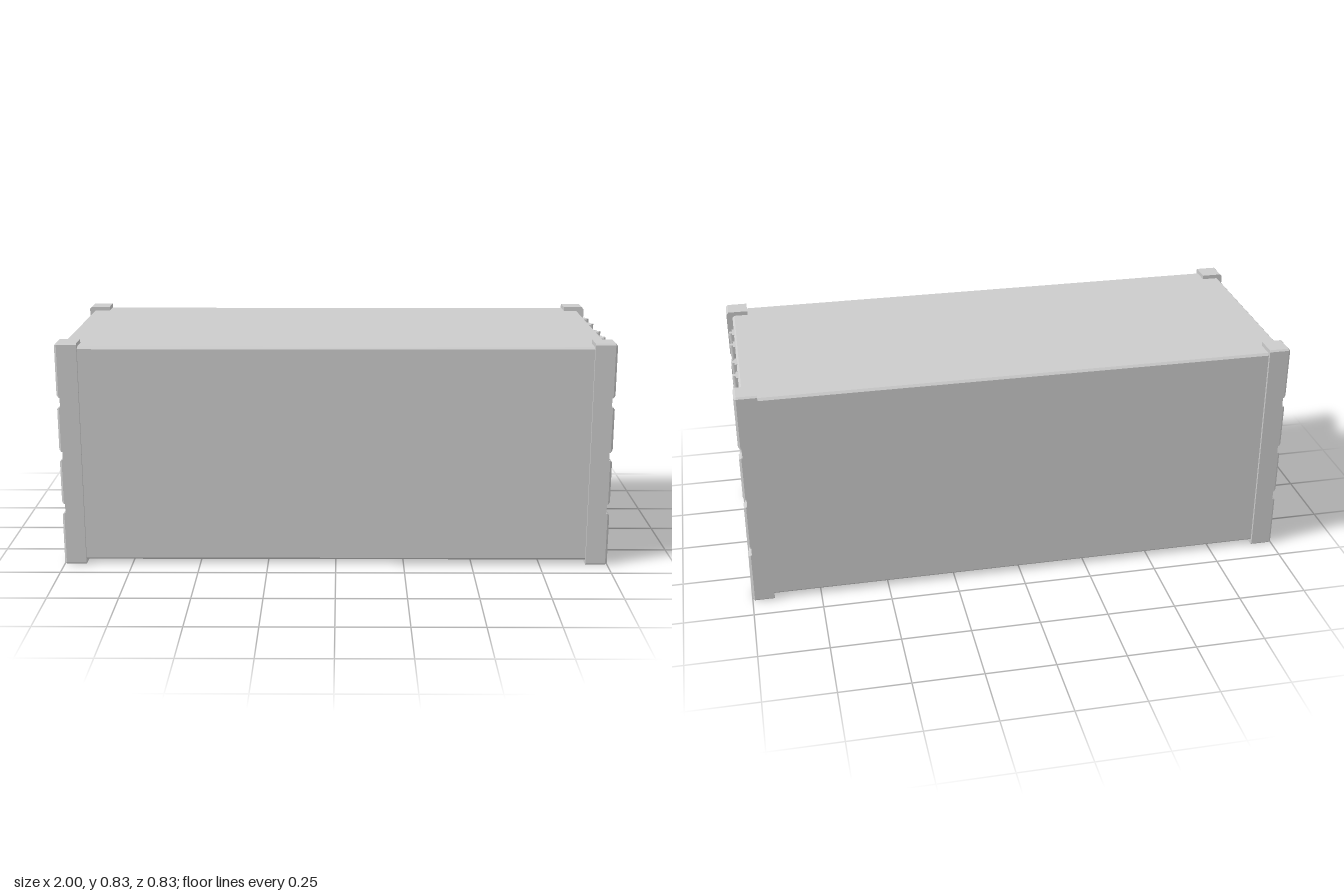
import * as THREE from 'three';

const mat = new THREE.MeshStandardMaterial({ color: 0xcccccc, side: THREE.DoubleSide });
const H = 0.415; // half height and half width
const B = 0.008; // bevel size

function add(parent, name, geo, x = 0, y = 0, z = 0) {
  const mesh = new THREE.Mesh(geo, mat);
  mesh.name = name;
  mesh.position.set(x, y, z);
  parent.add(mesh);
  return mesh;
}

// Prism along x from [z, y] corners; the chosen end faces are pulled in to form a bevel.
function prism(points, x0, x1, bevelStart = false, bevelEnd = false, zMin = -Infinity) {
  const shape = new THREE.Shape(points.map(([z, y]) => new THREE.Vector2(-z, y)));
  const ys = points.map(p => p[1]);
  const lo = Math.min(...ys) + B, hi = Math.max(...ys) - B;
  const zMax = Math.max(...points.map(p => p[0])) - B;
  const levels = [x0];
  if (bevelStart) levels.push(x0 + B);
  if (bevelEnd) levels.push(x1 - B);
  levels.push(x1);
  const steps = levels.length - 1;
  const geo = new THREE.ExtrudeGeometry(shape, { depth: 1, steps, bevelEnabled: false });
  geo.rotateY(Math.PI / 2);
  const p = geo.attributes.position;
  for (let i = 0; i < p.count; i++) {
    const k = Math.round(p.getX(i) * steps);
    p.setX(i, levels[k]);
    if ((k === 0 && bevelStart) || (k === steps && bevelEnd)) {
      p.setY(i, THREE.MathUtils.clamp(p.getY(i), lo, hi));
      p.setZ(i, THREE.MathUtils.clamp(p.getZ(i), zMin, zMax));
    }
  }
  geo.computeVertexNormals();
  return geo;
}

// Corner post with bevelled pads on its end face, centred in height
function cornerPost() {
  const post = new THREE.Group();
  post.name = 'cornerPost';
  const c = 0.006, inner = 0.37, foot = 0.332, footTop = 0.33;
  add(post, 'postCore', prism([
    [foot, -H], [H - c, -H], [H, -H + c], [H, H - c], [H - c, H], [foot, H],
    [foot, footTop], [inner, footTop], [inner, -footTop], [foot, -footTop],
  ], 0.92, 0.988));
  for (const s of [-1, 1]) {
    add(post, 'cornerPad', prism([
      [foot, s * H], [H - c, s * H], [H, s * (H - c)], [H, s * 0.217],
      [inner, s * 0.217], [inner, s * footTop], [foot, s * footTop],
    ], 0.986, 1, false, true));
    add(post, 'middlePad', prism([
      [inner, s * 0.015], [H, s * 0.015], [H, s * 0.182], [inner, s * 0.182],
    ], 0.986, 1, false, true));
  }
  return post;
}

// Vertical locking rod with sleeves and brackets
function lockingRod() {
  const rod = new THREE.Group();
  rod.name = 'lockingRod';
  const tube = (name, r, y0, y1) =>
    add(rod, name, new THREE.CylinderGeometry(r, r, y1 - y0, 16), 0.986, (y0 + y1) / 2, 0);
  tube('rodBar', 0.008, 0.022, 0.808);
  tube('upperSleeve', 0.0105, 0.715, 0.75);
  tube('lowerSleeve', 0.0105, 0.09, 0.123);
  for (const [name, y0, y1, half] of [
    ['bottomBracket', 0.022, 0.058, 0.029],
    ['middleBracket', 0.36, 0.369, 0.025],
    ['topBracket', 0.784, 0.81, 0.026],
  ]) {
    add(rod, name, new THREE.BoxGeometry(0.01, y1 - y0, half * 2), 0.98, (y0 + y1) / 2, 0);
    tube(name + 'Collar', 0.01, y0, y1);
  }
  return rod;
}

// Horizontal door handle between two z positions
function handle(parent, y, z0, z1) {
  const bar = new THREE.CylinderGeometry(0.004, 0.004, z0 - z1, 10).rotateX(Math.PI / 2);
  add(parent, 'handleBar', bar, 0.984, y, (z0 + z1) / 2);
  for (const z of [z0 - 0.006, z1 + 0.004])
    add(parent, 'handleClip', new THREE.BoxGeometry(0.012, 0.013, 0.007), 0.982, y, z);
}

export function createModel() {
  const model = new THREE.Group();
  model.name = 'shippingContainer';

  // Main body with every edge chamfered
  const w = 0.405, y0 = 0.015, y1 = 0.815;
  add(model, 'body', prism([
    [-w, y0 + B], [-w + B, y0], [w - B, y0], [w, y0 + B],
    [w, y1 - B], [w - B, y1], [-w + B, y1], [-w, y1 - B],
  ], -0.986, 0.978, true, true, -w + B));

  // Four corner posts, turned into place
  for (const rx of [0, Math.PI]) for (const ry of [0, Math.PI]) {
    const post = cornerPost();
    post.position.y = H;
    post.rotation.set(rx, ry, 0);
    model.add(post);
  }

  // Door fittings
  const doors = new THREE.Group();
  doors.name = 'doorFittings';
  model.add(doors);
  for (const z of [0.188, 0.077, -0.077, -0.188]) {
    const rod = lockingRod();
    rod.position.z = z;
    doors.add(rod);
  }
  for (const shift of [0, -0.266]) {
    handle(doors, 0.204, 0.184 + shift, 0.134 + shift);
    handle(doors, 0.17, 0.134 + shift, 0.084 + shift);
  }
  return model;
}
